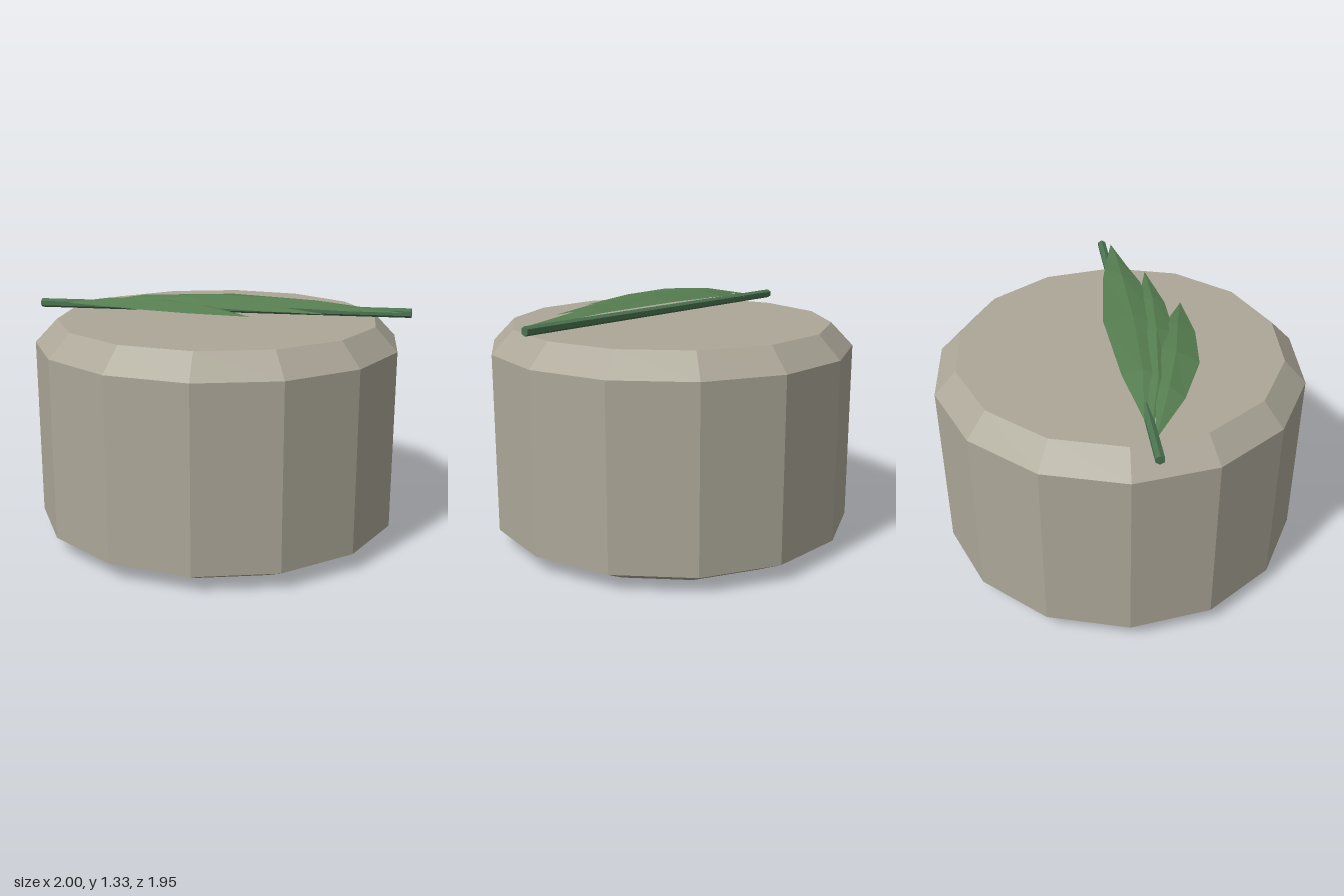
import * as THREE from 'three';

const stoneMat = new THREE.MeshStandardMaterial({ color: 0xaca798, flatShading: true });
const stemMat = new THREE.MeshStandardMaterial({ color: 0x4a7350, flatShading: true });
const leafMat = new THREE.MeshStandardMaterial({ color: 0x567d50, flatShading: true, side: THREE.DoubleSide });

function addFlat(parent, name, geometry, material) {
  const flat = geometry.index ? geometry.toNonIndexed() : geometry;
  flat.computeVertexNormals();
  const mesh = new THREE.Mesh(flat, material);
  mesh.name = name;
  parent.add(mesh);
  return mesh;
}

// Folded leaf: stations of [back edge, ridge, front edge] between a base and a tip point
function leafGeometry(base, stations, tip) {
  const rows = [[base, base, base], ...stations, [tip, tip, tip]];
  const pos = [];
  for (let i = 0; i < rows.length - 1; i++) {
    for (let j = 0; j < 2; j++) {
      const a = rows[i][j], b = rows[i][j + 1], c = rows[i + 1][j], d = rows[i + 1][j + 1];
      if (a !== b) pos.push(...a, ...b, ...c);
      if (c !== d) pos.push(...b, ...d, ...c);
    }
  }
  const g = new THREE.BufferGeometry();
  g.setAttribute('position', new THREE.Float32BufferAttribute(pos, 3));
  return g;
}

export function createModel() {
  const model = new THREE.Group();
  model.name = 'stoneWithLeafSprig';

  // Fourteen-sided stone drum with bevelled rims
  const profile = [[0, 0], [0.81, 0], [1, 0.095], [1, 1.07], [0.88, 1.195], [0, 1.195]]
    .map(([r, y]) => new THREE.Vector2(r, y));
  addFlat(model, 'stoneDrum', new THREE.LatheGeometry(profile, 14, Math.PI / 2), stoneMat);

  const sprig = new THREE.Group();
  sprig.name = 'leafSprig';
  model.add(sprig);

  // Stem lying diagonally across the top
  const from = new THREE.Vector3(-0.87, 1.228, 0.56);
  const to = new THREE.Vector3(0.93, 1.272, -0.5);
  const dir = to.clone().sub(from);
  const stem = addFlat(sprig, 'stem', new THREE.CylinderGeometry(0.025, 0.025, dir.length(), 6), stemMat);
  stem.position.copy(from).add(to).multiplyScalar(0.5);
  stem.quaternion.setFromUnitVectors(new THREE.Vector3(0, 1, 0), dir.normalize());

  // Three overlapping leaves, fanned from the stem
  const leaves = {
    backLeaf: leafGeometry([-0.63, 1.24, 0.39], [
      [[-0.38, 1.285, 0.17], [-0.32, 1.305, 0.26], [-0.30, 1.285, 0.34]],
      [[0.02, 1.31, -0.10], [0.10, 1.33, 0.04], [0.14, 1.30, 0.17]],
      [[0.46, 1.305, -0.29], [0.52, 1.325, -0.20], [0.53, 1.295, -0.09]],
      [[0.62, 1.295, -0.345], [0.71, 1.30, -0.30], [0.70, 1.285, -0.24]],
    ], [0.93, 1.28, -0.44]),
    middleLeaf: leafGeometry([-0.66, 1.24, 0.44], [
      [[-0.38, 1.275, 0.29], [-0.34, 1.30, 0.35], [-0.32, 1.275, 0.40]],
      [[0.00, 1.30, 0.12], [0.05, 1.325, 0.19], [0.08, 1.295, 0.28]],
      [[0.33, 1.30, -0.02], [0.36, 1.315, 0.05], [0.37, 1.29, 0.12]],
    ], [0.68, 1.28, -0.12]),
    frontLeaf: leafGeometry([-0.74, 1.235, 0.49], [
      [[-0.40, 1.28, 0.36], [-0.40, 1.30, 0.43], [-0.42, 1.265, 0.52]],
      [[-0.10, 1.30, 0.25], [-0.11, 1.32, 0.36], [-0.12, 1.28, 0.49]],
      [[0.16, 1.295, 0.20], [0.16, 1.31, 0.27], [0.16, 1.28, 0.37]],
    ], [0.43, 1.275, 0.19]),
  };
  for (const [name, geometry] of Object.entries(leaves)) addFlat(sprig, name, geometry, leafMat);

  return model;
}
